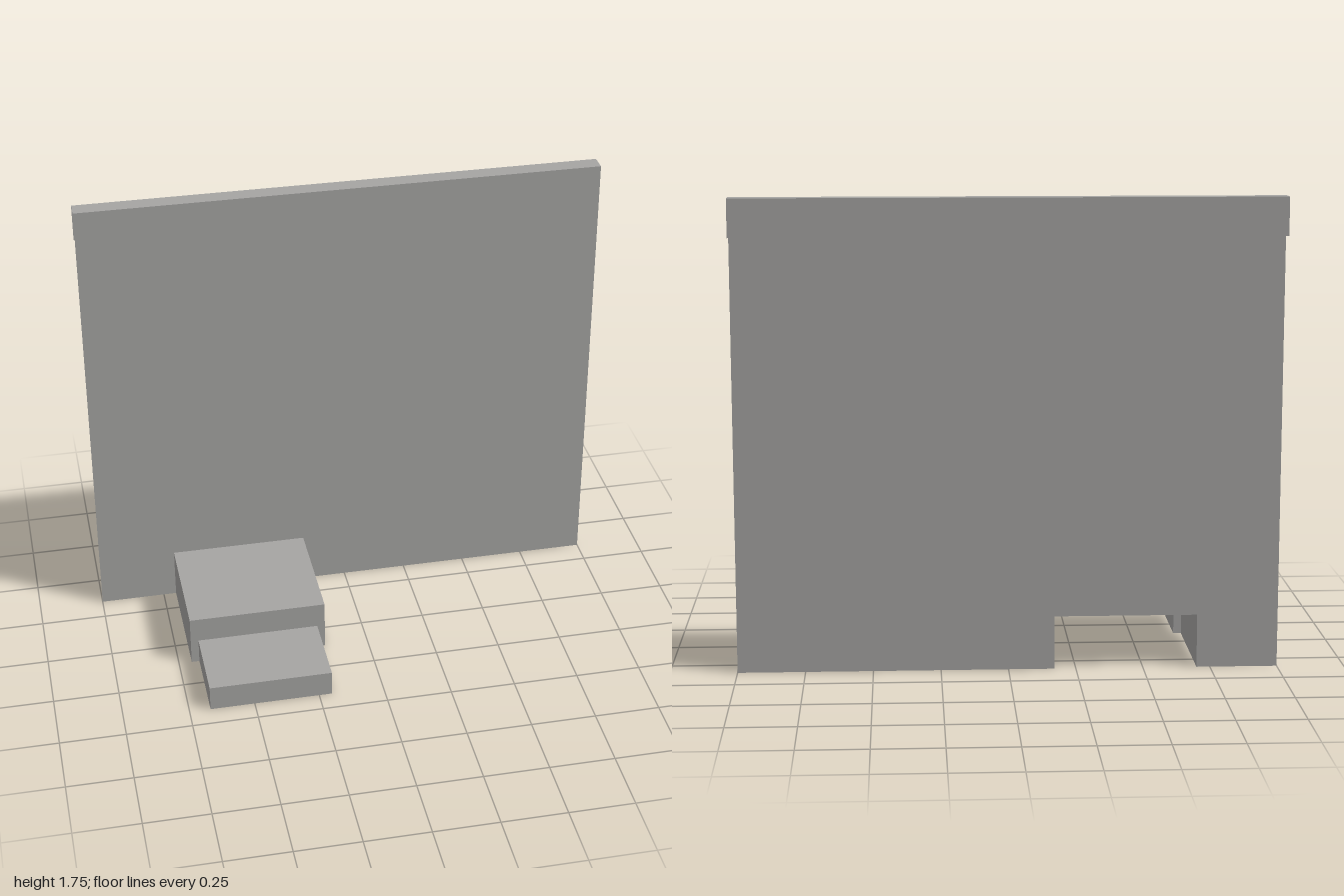
import * as THREE from 'three';

// Thin-shell wall with a folded top flange and two hollow steps
export function createModel() {
  const model = new THREE.Group();
  model.name = 'wallWithSteps';
  const grey = new THREE.MeshStandardMaterial({ color: 0xa6a5a3, side: THREE.DoubleSide });
  grey.name = 'warm grey';

  const BACK = -0.417, WALL = -0.35, MID = 0.115, FRONT = 0.417, TOP = 1.75, LIP = 0.14;
  const upper = { x0: -0.7, x1: -0.17, h: 0.2 };
  const lower = { x0: -0.67, x1: -0.2, h: 0.1 };

  function add(parent, name, geometry, x, y, z) {
    const mesh = new THREE.Mesh(geometry, grey);
    mesh.name = name;
    mesh.position.set(x, y, z);
    parent.add(mesh);
    return mesh;
  }

  // Upright sheet standing on the ground, with an optional doorway cut from its bottom edge
  function sheet(parent, name, x0, x1, h, z, cut) {
    const points = [[x0, 0]];
    if (cut) points.push([cut.x0, 0], [cut.x0, cut.h], [cut.x1, cut.h], [cut.x1, 0]);
    points.push([x1, 0], [x1, h], [x0, h]);
    const shape = new THREE.Shape(points.map(([x, y]) => new THREE.Vector2(x, y)));
    return add(parent, name, new THREE.ShapeGeometry(shape), 0, 0, z);
  }

  // Level sheet facing up
  function level(parent, name, x0, x1, y, z0, z1) {
    const g = new THREE.PlaneGeometry(x1 - x0, z1 - z0).rotateX(-Math.PI / 2);
    return add(parent, name, g, (x0 + x1) / 2, y, (z0 + z1) / 2);
  }

  // Step open at the bottom and the back
  function step(name, { x0, x1, h }, z0, z1, cut) {
    const group = new THREE.Group();
    group.name = name;
    model.add(group);
    level(group, 'tread', x0, x1, h, z0, z1);
    sheet(group, 'riser', x0, x1, h, z1, cut);
    for (const [side, x, turn] of [['leftSide', x1, 1], ['rightSide', x0, -1]]) {
      const g = new THREE.PlaneGeometry(z1 - z0, h).rotateY(turn * Math.PI / 2);
      add(group, side, g, x, h / 2, (z0 + z1) / 2);
    }
  }

  // Wall, top flange and the lip hanging behind it
  sheet(model, 'wall', -1, 1, TOP, WALL, upper);
  level(model, 'topFlange', -1, 1, TOP, BACK, WALL);
  add(model, 'backLip', new THREE.PlaneGeometry(2, LIP).rotateY(Math.PI), 0, TOP - LIP / 2, BACK);

  step('upperStep', upper, WALL, MID, lower);
  step('lowerStep', lower, MID, FRONT);
  return model;
}
